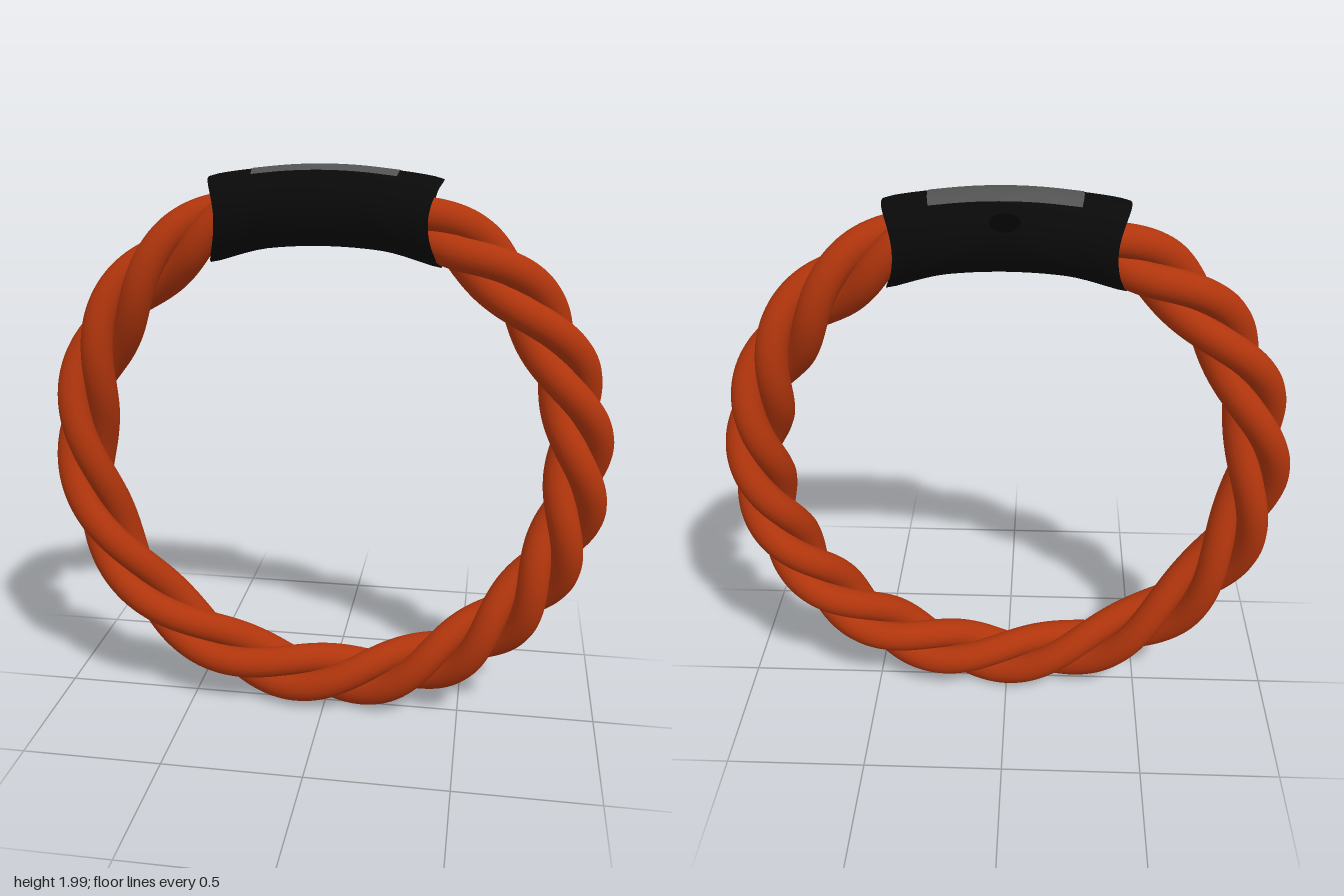
import * as THREE from 'three';
import { toCreasedNormals } from 'three/addons/utils/BufferGeometryUtils.js';
import { ParametricGeometry } from 'three/addons/geometries/ParametricGeometry.js';

const RING_R = 0.875, RING_Y = 1.0;
const STRAND_R = 0.055, STRAND_OFFSET = 0.061, TWISTS = 6;
const rad = THREE.MathUtils.degToRad;
const { smoothstep, lerp, clamp } = THREE.MathUtils;

// One strand winding around the ring; the twist is looser on the lower left
class StrandCurve extends THREE.Curve {
  constructor(phase) {
    super();
    this.phase = phase;
  }
  getPoint(t, target = new THREE.Vector3()) {
    const degrees = -252 + 324 * t;
    const angle = rad(degrees);
    const squeeze = 1 - smoothstep(Math.min(t, 1 - t), 0, 0.05);
    const offset = STRAND_OFFSET * (1 - 0.25 * squeeze);
    const drift = 17 * Math.cos(rad(clamp((degrees + 75) / 1.5, -90, 90))) ** 2;
    const phi = TWISTS * rad(degrees - drift - 60) + this.phase;
    const r = RING_R + 0.01 * squeeze + offset * Math.cos(phi);
    return target.set(r * Math.cos(angle), RING_Y + r * Math.sin(angle), offset * Math.sin(phi));
  }
}

// Point on the bowed clasp; ends are cut back at the sides and flare downwards
function claspPoint(along, angle, radius, target) {
  const s = Math.sin(angle);
  const x = along * (0.345 + 0.042 * s * s);
  const flare = smoothstep(Math.abs(x), 0.18, 0.39) * (s < 0 ? 0.018 : 0.006);
  const y = 1.867 + (radius + flare) * s - 0.31 * x * x;
  return target.set(x, y, radius * 1.025 * Math.cos(angle) - 0.003);
}

function makeClaspBody() {
  // Profile of [position along, radius]: recessed floor, rim, outer wall, mirrored
  const profile = [[-0.84, 0], [-0.84, 0.116], [-0.99, 0.12], [-1, 0.129]];
  for (let i = 1; i < 24; i++) profile.push([-1 + i / 12, 0.131]);
  profile.push([1, 0.129], [0.99, 0.12], [0.84, 0.116], [0.84, 0]);
  const last = profile.length - 1;
  const surface = (u, v, target) => {
    const p = clamp(u, 0, 1) * last;
    const i = Math.min(Math.floor(p + 1e-9), last - 1);
    const [a, b] = [profile[i], profile[i + 1]];
    claspPoint(lerp(a[0], b[0], p - i), v * Math.PI * 2, lerp(a[1], b[1], p - i), target);
  };
  return toCreasedNormals(new ParametricGeometry(surface, last, 48), rad(35));
}

export function createModel() {
  const model = new THREE.Group();
  const addGroup = (name) => {
    const group = new THREE.Group();
    group.name = name;
    model.add(group);
    return group;
  };
  const add = (name, geometry, material, parent) => {
    const mesh = new THREE.Mesh(geometry, material);
    mesh.name = name;
    parent.add(mesh);
    return mesh;
  };
  const ropeMat = new THREE.MeshStandardMaterial({ color: 0xb0350c });
  const claspMat = new THREE.MeshStandardMaterial({ color: 0x090909 });
  const plateMat = new THREE.MeshStandardMaterial({ color: 0x525252, side: THREE.DoubleSide });
  const buttonMat = new THREE.MeshStandardMaterial({ color: 0x030303 });

  // Three-strand twisted rope
  const rope = addGroup('rope');
  for (let i = 0; i < 3; i++) {
    const curve = new StrandCurve((i * Math.PI * 2) / 3);
    add('strand' + (i + 1), new THREE.TubeGeometry(curve, 320, STRAND_R, 20, false), ropeMat, rope);
  }

  // Clasp sleeve
  const clasp = addGroup('clasp');
  add('claspBody', makeClaspBody(), claspMat, clasp);

  // Inlaid plate following the top of the sleeve
  const plate = (u, v, target) => claspPoint(lerp(-0.62, 0.63, u), rad(lerp(63, 122, v)), 0.133, target);
  add('topPlate', new ParametricGeometry(plate, 24, 12), plateMat, clasp);

  // Small oval button on the upper back
  const buttonAngle = rad(152);
  const button = add('button', new THREE.CylinderGeometry(1, 1, 0.012, 32), buttonMat, clasp);
  claspPoint(0, buttonAngle, 0.128, button.position);
  button.scale.set(0.048, 1, 0.028);
  button.rotation.x = Math.PI / 2 - buttonAngle;

  return model;
}
